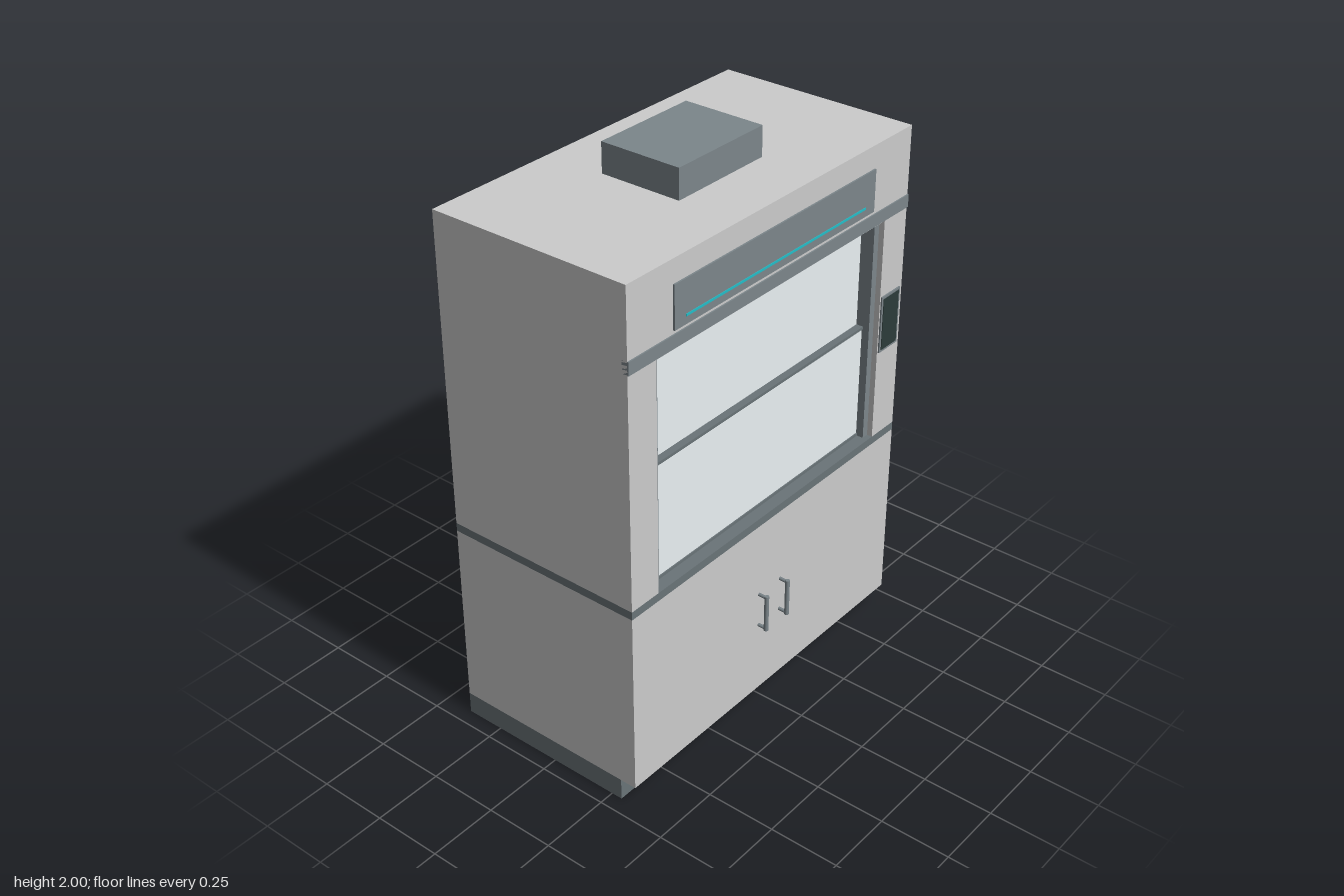
import * as THREE from 'three';

const mat = (color, extra = {}) => new THREE.MeshStandardMaterial({ color, ...extra });

export function createModel() {
  const model = new THREE.Group();
  const body = mat(0xcccccc);
  const steel = mat(0x7c868b);
  const dark = mat(0x6a7478);
  const glass = mat(0xeaf0f3);
  const screen = mat(0x2c3b3a);
  const glow = mat(0x24bec8);

  // Box given by its extents on each axis
  const box = (name, [x0, x1], [y0, y1], [z0, z1], material, parent = model) => {
    const mesh = new THREE.Mesh(new THREE.BoxGeometry(x1 - x0, y1 - y0, z1 - z0), material);
    mesh.position.set((x0 + x1) / 2, (y0 + y1) / 2, (z0 + z1) / 2);
    mesh.name = name;
    parent.add(mesh);
    return mesh;
  };
  // Same extents mirrored to either side of x = 0
  const side = (s, a, b) => (s > 0 ? [a, b] : [-b, -a]);

  const W = 0.695, back = -0.39, front = 0.35;
  const full = [-W, W], depth = [back, front];

  // Base, worktop, header and exhaust duct
  box('plinth', full, [0, 0.08], [back, 0.29], dark);
  box('worktop', full, [0.755, 0.785], depth, dark);
  box('header', full, [1.605, 1.895], depth, body);
  box('headerTrim', full, [1.61, 1.655], [0.33, 0.355], steel);
  box('exhaustDuct', [-0.2, 0.2], [1.895, 2], [-0.17, 0.13], steel);

  // Chamber back wall
  box('chamberBack', [-0.57, 0.57], [0.785, 1.605], [back, back + 0.03], body);

  for (const s of [-1, 1]) {
    const label = s > 0 ? 'left' : 'right';
    // Cupboard half, side pillar and sash channel
    box(label + 'Cupboard', side(s, 0, W), [0.08, 0.755], depth, body);
    box(label + 'Pillar', side(s, 0.57, W), [0.785, 1.605], depth, body);
    box(label + 'SashChannel', side(s, 0.544, 0.57), [0.785, 1.605], [0.26, 0.33], steel);

    // Door handle: upright bar on two stubs
    const handle = new THREE.Group();
    handle.name = label + 'Handle';
    const bar = new THREE.Mesh(new THREE.CylinderGeometry(0.008, 0.008, 0.14, 12), steel);
    bar.position.set(s * 0.057, 0.415, 0.382);
    handle.add(bar);
    for (const y of [0.352, 0.478]) {
      const stub = new THREE.Mesh(new THREE.CylinderGeometry(0.006, 0.006, 0.034, 10), steel);
      stub.rotation.x = Math.PI / 2;
      stub.position.set(s * 0.057, y, 0.365);
      handle.add(stub);
    }
    model.add(handle);
  }

  // Two sliding sashes, the lower one in front
  const pane = [-0.544, 0.544];
  box('upperSash', pane, [1.2, 1.605], [0.27, 0.28], glass);
  box('lowerSash', pane, [0.795, 1.205], [0.292, 0.302], glass);
  box('sashRail', pane, [1.203, 1.213], [0.28, 0.306], dark);
  box('sashSill', pane, [0.785, 0.795], [0.288, 0.306], dark);

  // Light panel on the header
  box('lightPanel', [-0.495, 0.495], [1.668, 1.815], [0.345, 0.356], steel);
  box('lightStrip', [-0.445, 0.445], [1.694, 1.702], [0.352, 0.358], glow);

  // Control unit on the left pillar
  box('controlFrame', [0.575, 0.68], [1.115, 1.325], [0.345, 0.355], steel);
  box('controlScreen', [0.584, 0.671], [1.124, 1.316], [0.35, 0.357], screen);

  return model;
}
